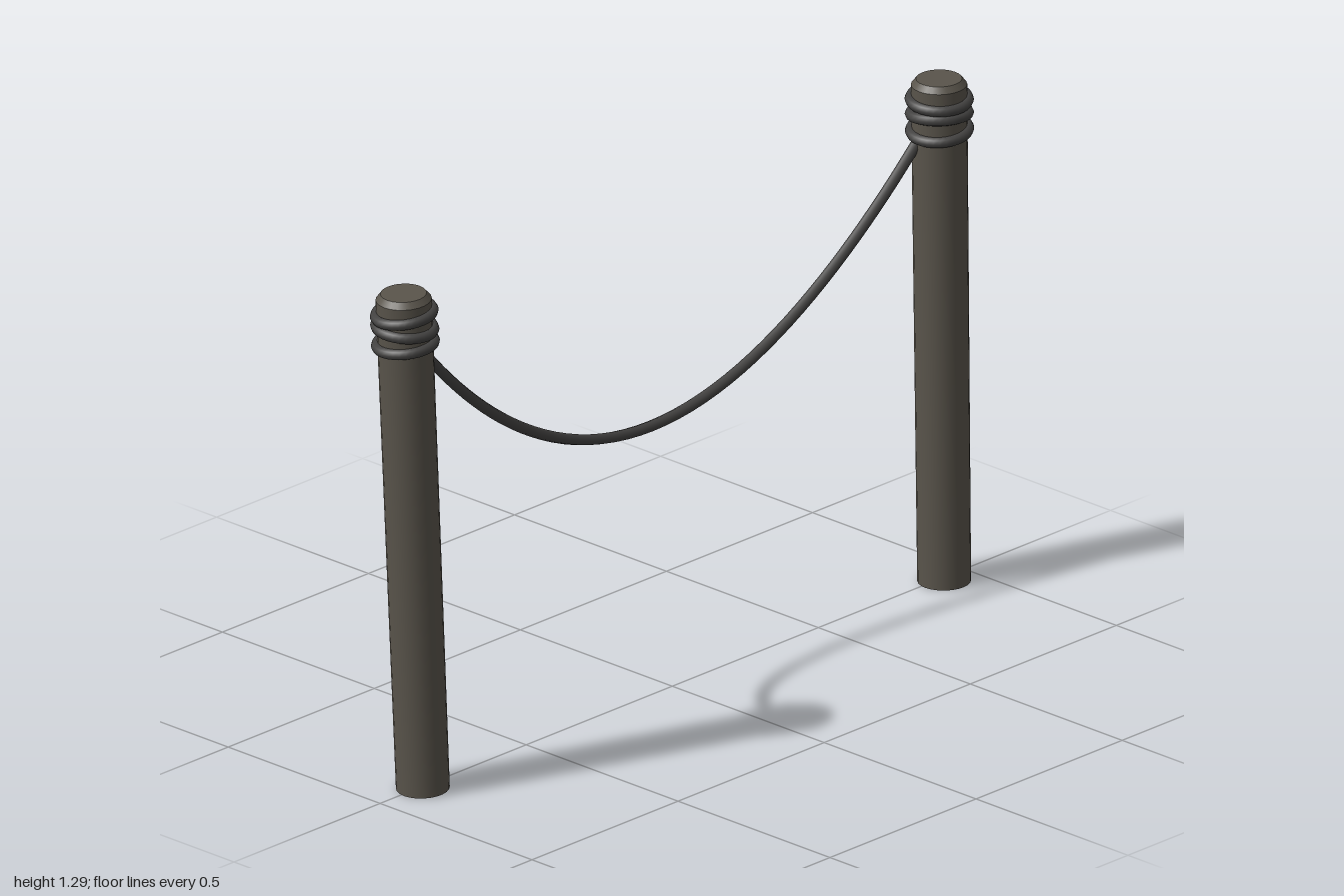
import * as THREE from 'three';

const wood = new THREE.MeshStandardMaterial({ color: 0x59544b });
const cord = new THREE.MeshStandardMaterial({ color: 0x444342 });
const UP = new THREE.Vector3(0, 1, 0);

// Leaning post with a chamfered top and three tilted rope wraps
function makePost(name, foot, top, tilts) {
  const group = new THREE.Group();
  group.name = name;
  const axis = top.clone().sub(foot);
  const height = axis.length();
  group.position.copy(foot);
  group.quaternion.setFromUnitVectors(UP, axis.normalize());

  // Separate segments keep the rims sharp while the shaft stays smooth
  const chamfer = 0.015;
  const shaft = new THREE.Mesh(
    new THREE.CylinderGeometry(0.067, 0.064, height - chamfer, 24, 1, true), wood);
  shaft.position.y = (height - chamfer) / 2;
  shaft.name = 'postShaft';
  const cap = new THREE.Mesh(new THREE.CylinderGeometry(0.055, 0.067, chamfer, 24), wood);
  cap.position.y = height - chamfer / 2;
  cap.name = 'postCap';
  const base = new THREE.Mesh(new THREE.CircleGeometry(0.064, 24), wood);
  base.rotation.x = Math.PI / 2;
  base.name = 'postBase';
  group.add(shaft, cap, base);

  [1.158, 1.2, 1.236].forEach((y, i) => {
    const wrap = new THREE.Mesh(new THREE.TorusGeometry(0.069, 0.0135, 8, 32), cord);
    wrap.rotation.set(Math.PI / 2 + tilts[i][0], tilts[i][1], 0);
    wrap.position.y = y;
    wrap.name = 'ropeWrap';
    group.add(wrap);
  });
  return group;
}

export function createModel() {
  const model = new THREE.Group();
  model.name = 'ropeBarrier';

  model.add(makePost('leftPost',
    new THREE.Vector3(0.915, 0.002, 0.015), new THREE.Vector3(0.912, 1.29, 0.001),
    [[0.04, 0.1], [-0.08, -0.06], [0.07, 0.04]]));
  model.add(makePost('rightPost',
    new THREE.Vector3(-0.864, 0.004, 0.01), new THREE.Vector3(-0.921, 1.29, 0.001),
    [[-0.05, 0.04], [0.08, -0.06], [-0.06, 0.07]]));

  // Sagging rope, bowed slightly towards the back
  const points = [];
  for (let i = 0; i <= 16; i++) {
    const x = -0.88 + 1.76 * i / 16;
    points.push(new THREE.Vector3(x, 0.65 + 0.66 * x * x, -0.07 + 0.07 * x * x));
  }
  const rope = new THREE.Mesh(
    new THREE.TubeGeometry(new THREE.CatmullRomCurve3(points), 48, 0.0135, 8), cord);
  rope.name = 'hangingRope';
  model.add(rope);
  return model;
}
